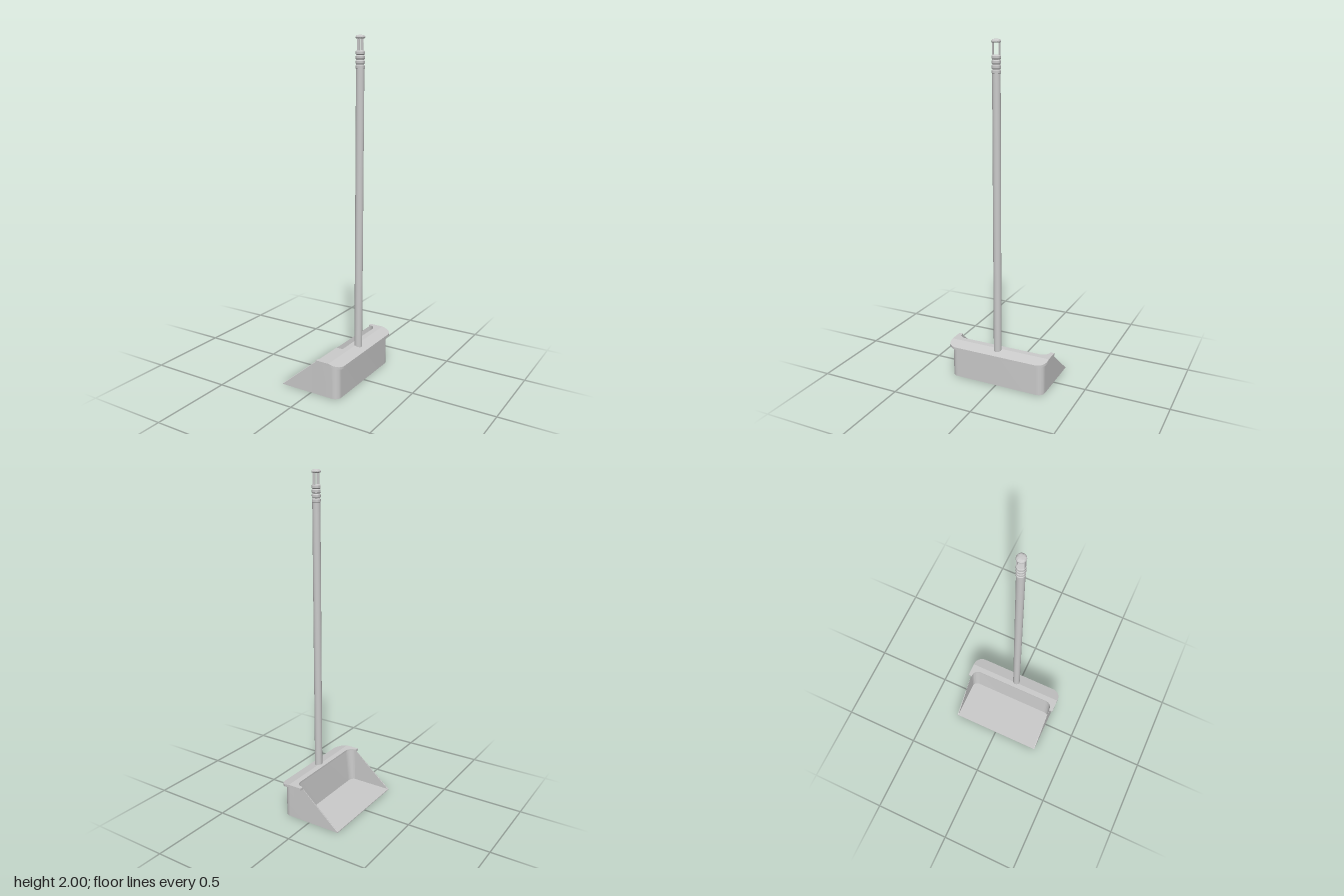
import * as THREE from 'three';
import { toCreasedNormals } from 'three/addons/utils/BufferGeometryUtils.js';

const mat = new THREE.MeshStandardMaterial({ color: 0xcccccc });
const BEND = 0.13;      // where the hood starts to slope down
const SHOULDER = 0.045; // top of the slanted side walls
const INNER_X = 0.095, INNER_Z = 0.294;

const drop = (x) => 0.018 * Math.max(0, x - BEND) / 0.07;

function add(parent, name, geometry, x = 0, y = 0, z = 0) {
  const mesh = new THREE.Mesh(geometry, mat);
  mesh.name = name;
  mesh.position.set(x, y, z);
  parent.add(mesh);
  return mesh;
}

// Plan outline from x0 back to x1, with rounded back corners
function plan(x0, x1, hw, r) {
  const s = new THREE.Shape();
  s.moveTo(x0, -hw);
  if (x0 < SHOULDER) s.lineTo(SHOULDER, -hw);
  s.lineTo(x1 - r, -hw);
  if (r) s.absarc(x1 - r, -hw + r, r, -Math.PI / 2, 0, false);
  s.lineTo(x1, hw - r);
  if (r) s.absarc(x1 - r, hw - r, r, 0, Math.PI / 2, false);
  if (x0 < SHOULDER) s.lineTo(SHOULDER, hw);
  s.lineTo(x0, hw);
  return s;
}

// The same outline with the scoop opening cut out of its front
function scoopPlan(x0, x1, hw, r) {
  const s = plan(x0, x1, hw, r), ir = 0.045;
  s.lineTo(x0, INNER_Z);
  if (x0 < SHOULDER) s.lineTo(SHOULDER, INNER_Z);
  s.lineTo(INNER_X - ir, INNER_Z);
  s.absarc(INNER_X - ir, INNER_Z - ir, ir, Math.PI / 2, 0, true);
  s.lineTo(INNER_X, ir - INNER_Z);
  s.absarc(INNER_X - ir, ir - INNER_Z, ir, 0, -Math.PI / 2, true);
  if (x0 < SHOULDER) s.lineTo(SHOULDER, -INNER_Z);
  s.lineTo(x0, -INNER_Z);
  return s;
}

// Extrude a plan upwards, then move its vertices by a rule
function raise(shape, depth, rule) {
  const g = new THREE.ExtrudeGeometry(shape, { depth, bevelEnabled: false, curveSegments: 10 });
  g.rotateX(-Math.PI / 2);
  const p = g.attributes.position, v = new THREE.Vector3();
  for (let i = 0; i < p.count; i++) {
    v.fromBufferAttribute(p, i);
    rule(v);
    p.setXYZ(i, v.x, v.y, v.z);
  }
  return toCreasedNormals(g, 0.5);
}

export function createModel() {
  const model = new THREE.Group();
  model.name = 'dustpan';

  // Pan: flat floor and walls that rise to the shoulder
  const pan = new THREE.Group();
  pan.name = 'pan';
  model.add(pan);
  add(pan, 'floor', raise(plan(-0.2, 0.18, 0.3, 0.04), 0.005, () => {}));
  add(pan, 'walls', raise(scoopPlan(-0.2, 0.18, 0.3, 0.04), 1, (v) => {
    const inner = Math.abs(v.z) < INNER_Z + 0.001 && v.x > SHOULDER && v.x < INNER_X + 0.001;
    const top = v.x < SHOULDER ? 0.002 + (v.x + 0.2) / 0.245 * 0.206 : 0.208 - drop(v.x);
    // inner back wall leans backwards
    if (inner) v.x -= 0.02 * (1 - v.y) * (v.x - SHOULDER) / (INNER_X - SHOULDER);
    v.y *= top;
  }));

  // Hood: level front rim and sloping back
  const hood = new THREE.Group();
  hood.name = 'hood';
  model.add(hood);
  const bend = (v) => { v.y += 0.204 - drop(v.x); };
  add(hood, 'hoodRim', raise(scoopPlan(SHOULDER, BEND, 0.318, 0), 0.014, bend));
  add(hood, 'hoodBack', raise(plan(BEND, 0.2, 0.318, 0.058), 0.014, bend));

  // Handle: long tube, ribbed grip and hanging loop
  const handle = new THREE.Group();
  handle.name = 'handle';
  handle.position.set(0.141, 0, 0.005);
  model.add(handle);
  add(handle, 'tube', new THREE.CylinderGeometry(0.023, 0.023, 1.64, 32), 0, 1.01);

  const grip = [[0, 1.82]];
  for (let i = 0; i < 4; i++) {
    const y = 1.82 + i * 0.025;
    grip.push([0.021, y], [0.025, y + 0.005], [0.025, y + 0.019], [0.021, y + 0.024]);
  }
  grip.push([0, 1.92]);
  add(handle, 'grip', toCreasedNormals(
    new THREE.LatheGeometry(grip.map(([r, y]) => new THREE.Vector2(r, y)), 32), 0.5));

  for (const side of [-1, 1]) {
    add(handle, 'loopPost', new THREE.BoxGeometry(0.016, 0.07, 0.005), 0, 1.952, side * 0.0195);
  }
  const cap = [[0, 1.981], [0.022, 1.981], [0.026, 1.985], [0.026, 1.991], [0.021, 1.998], [0.012, 2], [0, 2]];
  add(handle, 'cap', toCreasedNormals(
    new THREE.LatheGeometry(cap.map(([r, y]) => new THREE.Vector2(r, y)), 32), 0.8));

  return model;
}
